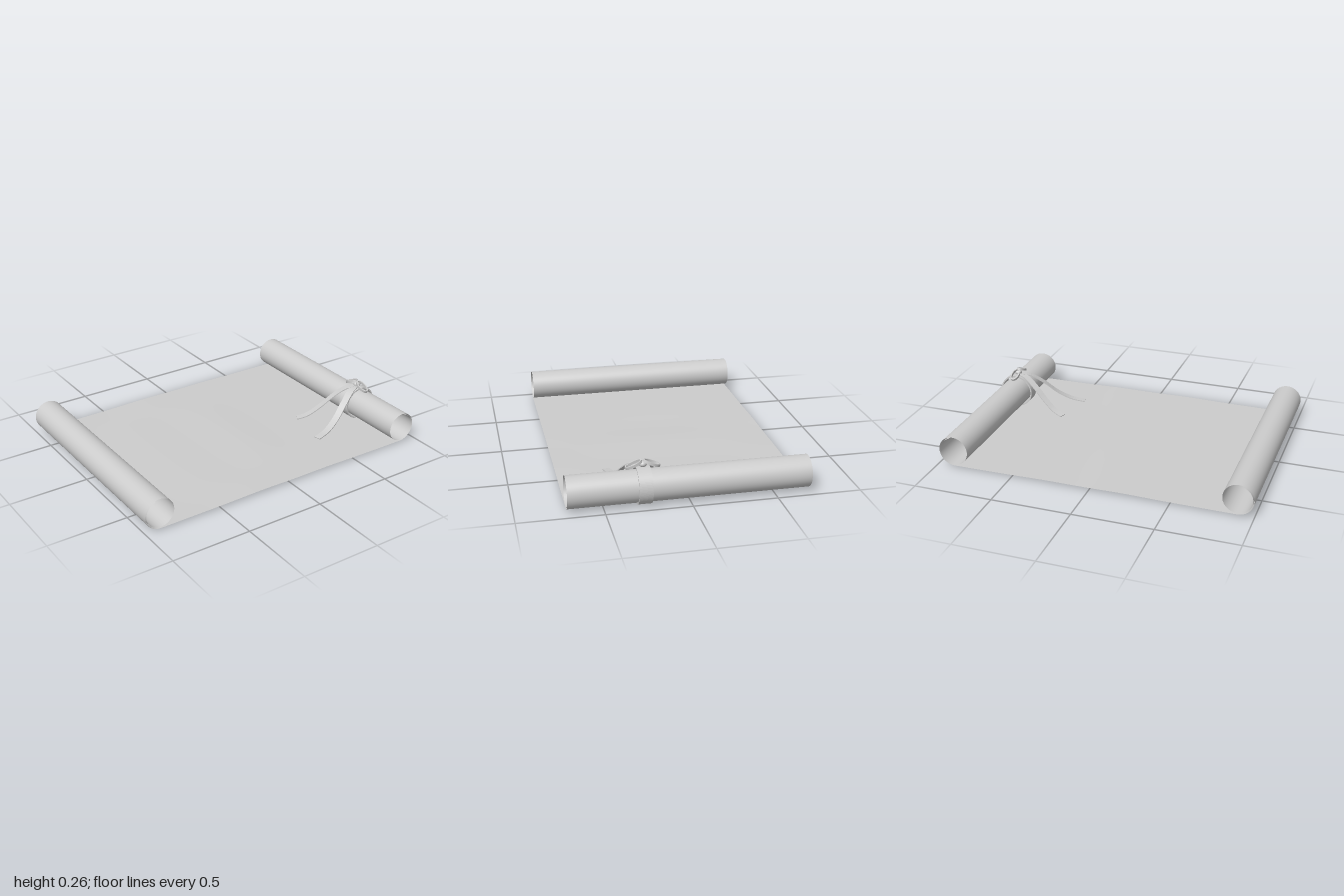
import * as THREE from 'three';

export function createModel() {
  const group = new THREE.Group();
  const paper = new THREE.MeshStandardMaterial({ color: 0xcccccc, side: THREE.DoubleSide });
  paper.name = 'plain grey';

  const add = (name, geometry, parent = group) => {
    const mesh = new THREE.Mesh(geometry, paper);
    mesh.name = name;
    parent.add(mesh);
    return mesh;
  };

  // Side profile of the sheet: left curl, flat middle, right curl
  const leftX = -0.902, rightX = 0.886, baseY = 0.013, radius = 0.098;
  const curlSteps = 60, flatSteps = 48, turns = 1.45;
  const curl = (centreX, side) => Array.from({ length: curlSteps + 1 }, (_, i) => {
    const t = i / curlSteps;
    const a = t * turns * Math.PI * 2;
    const r = radius - 0.012 * t;
    return [centreX + side * r * Math.sin(a), baseY + radius - r * Math.cos(a)];
  });
  const flat = Array.from({ length: flatSteps - 1 }, (_, i) =>
    [THREE.MathUtils.lerp(leftX, rightX, (i + 1) / flatSteps), baseY]);
  const profile = [...curl(leftX, -1).reverse(), ...flat, ...curl(rightX, 1)];

  // One sheet bent along the profile, with gentle waves in the flat part
  const cols = profile.length - 1, rows = 20;
  const sheet = new THREE.PlaneGeometry(1, 1, cols, rows);
  const pos = sheet.attributes.position;
  for (let i = 0; i < pos.count; i++) {
    const c = i % (cols + 1);
    const z = -1.418 * pos.getY(i);
    const [x, y] = profile[c];
    const f = (c - curlSteps) / flatSteps;
    const lift = f > 0 && f < 1 ? Math.sin(Math.PI * f) ** 2 : 0;
    const wave = 0.006 + 0.003 * Math.sin(x * 11 + 1) * Math.cos(z * 3);
    pos.setXYZ(i, x, y + lift * wave, z);
  }
  sheet.computeVertexNormals();
  add('paperSheet', sheet);

  // Ribbon band around the right roll
  const tieZ = 0.267;
  const ringGeometry = (rx, ry, thickness, width) => {
    const shape = new THREE.Shape().absellipse(0, 0, rx, ry, 0, Math.PI * 2);
    shape.holes.push(new THREE.Path().absellipse(0, 0, rx - thickness, ry - thickness, 0, Math.PI * 2));
    return new THREE.ExtrudeGeometry(shape, { depth: width, bevelEnabled: false, curveSegments: 40 })
      .translate(0, 0, -width / 2);
  };
  add('ribbonBand', ringGeometry(0.112, 0.11, 0.009, 0.08)).position.set(0.886, 0.114, tieZ);

  // Bow: two sloping loops and a knot
  const bow = new THREE.Group();
  bow.name = 'ribbonBow';
  bow.position.set(0.883, 0.24, tieZ);
  group.add(bow);
  for (const side of [-1, 1]) {
    const loop = add(side > 0 ? 'frontLoop' : 'backLoop',
      ringGeometry(0.028, 0.052, 0.008, 0.016).rotateX(-Math.PI / 2), bow);
    loop.position.set(0, 0.001, side * 0.052);
    loop.rotation.x = side * 0.4;
  }
  add('knot', new THREE.SphereGeometry(0.023, 20, 14), bow).scale.set(1, 0.8, 1);

  // Tails: flat strips swept along a curve that falls onto the sheet
  const tail = (name, points) => {
    const curve = new THREE.CatmullRomCurve3(points.map(p => new THREE.Vector3(...p)));
    const steps = 28, half = 0.022, thick = 0.003;
    const box = new THREE.BoxGeometry(1, 1, 1, steps, 1, 1).toNonIndexed();
    const p = box.attributes.position;
    for (let i = 0; i < p.count; i++) {
      const t = THREE.MathUtils.clamp(p.getX(i) + 0.5, 0, 1);
      const centre = curve.getPoint(t), dir = curve.getTangent(t);
      const across = new THREE.Vector3(-dir.z, 0, dir.x).normalize();
      const up = new THREE.Vector3().crossVectors(across, dir).normalize();
      centre.addScaledVector(across, p.getZ(i) * 2 * half)
        .addScaledVector(up, -p.getY(i) * 2 * thick * Math.sign(-up.y || -1));
      p.setXYZ(i, centre.x, centre.y, centre.z);
    }
    box.computeVertexNormals();
    add(name, box);
  };
  tail('backTail', [[0.88, 0.234, 0.267], [0.81, 0.222, 0.24], [0.73, 0.172, 0.208],
    [0.65, 0.105, 0.177], [0.57, 0.052, 0.147], [0.503, 0.033, 0.121]]);
  tail('frontTail', [[0.88, 0.234, 0.267], [0.81, 0.222, 0.295], [0.73, 0.172, 0.328],
    [0.63, 0.09, 0.363], [0.54, 0.045, 0.389], [0.448, 0.028, 0.408]]);

  return group;
}
